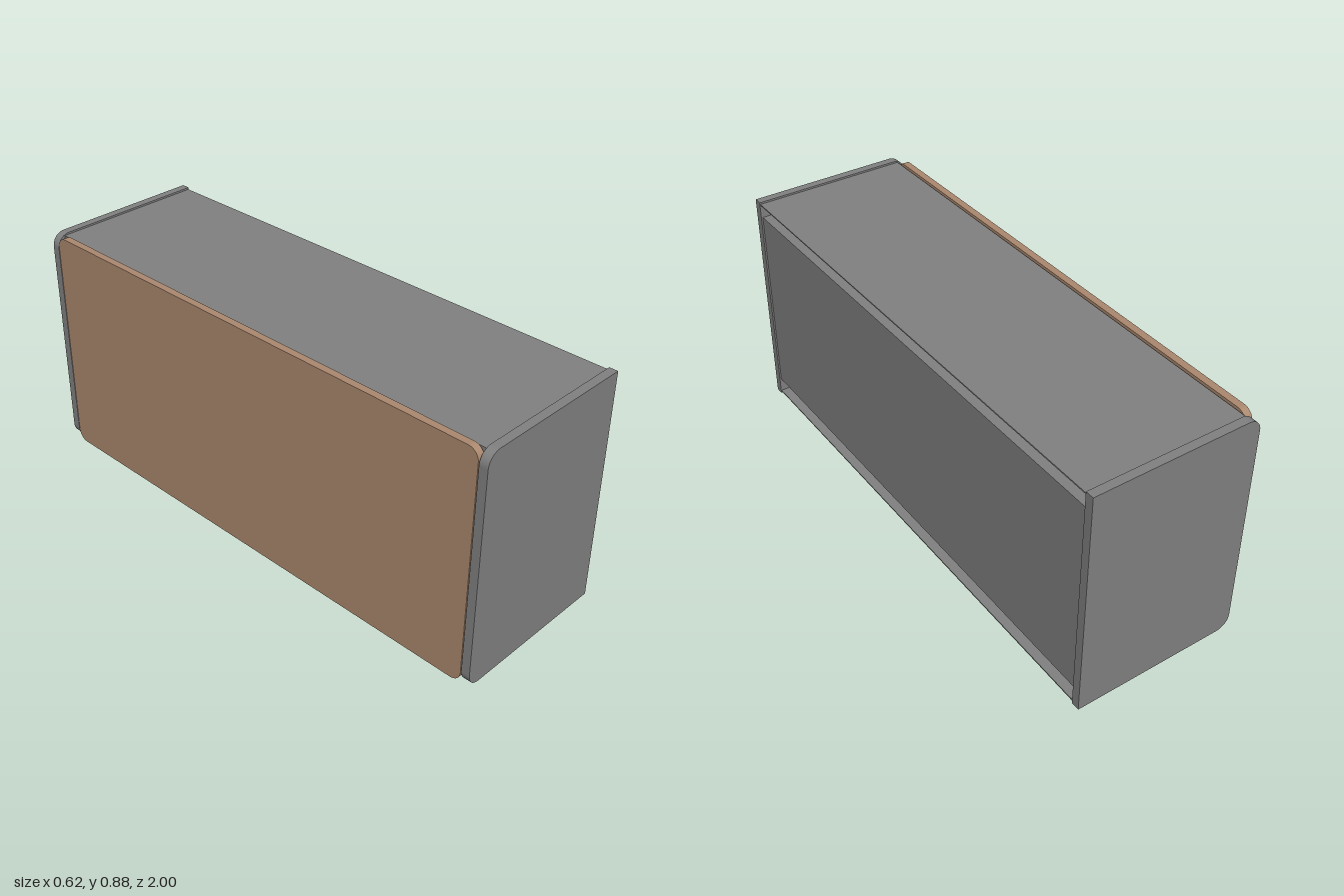
import * as THREE from 'three';

const H = 0.875, X = 0.312, END = 0.968, DOOR = -0.285;

export function createModel() {
  const model = new THREE.Group();
  const grey = new THREE.MeshStandardMaterial({ color: 0x808080 });
  grey.name = 'grey laminate';
  const wood = new THREE.MeshStandardMaterial({ color: 0xaa886e });
  wood.name = 'brown wood';

  const add = (name, geometry, material) => {
    const mesh = new THREE.Mesh(geometry, material);
    mesh.name = name;
    model.add(mesh);
    return mesh;
  };
  // Box given by its limits on each axis
  const box = (name, x0, x1, y0, y1, z0, z1) => {
    const mesh = add(name, new THREE.BoxGeometry(x1 - x0, y1 - y0, z1 - z0), grey);
    mesh.position.set((x0 + x1) / 2, (y0 + y1) / 2, (z0 + z1) / 2);
  };
  const extrude = (shape, depth) =>
    new THREE.ExtrudeGeometry(shape, { depth, bevelEnabled: false, curveSegments: 8 });

  // End panels, rounded on the door side
  const r = 0.05;
  const end = new THREE.Shape();
  end.moveTo(X, 0);
  end.lineTo(X, H);
  end.lineTo(-X + r, H);
  end.absarc(-X + r, H - r, r, Math.PI / 2, Math.PI, false);
  end.lineTo(-X, r);
  end.absarc(-X + r, r, r, Math.PI, Math.PI * 1.5, false);
  end.closePath();
  for (const [name, z] of [['frontEndPanel', END], ['backEndPanel', -1]]) {
    add(name, extrude(end, 1 - END), grey).position.z = z;
  }

  // Wooden door with four rounded corners
  const c = 0.04, w = END - 0.003;
  const door = new THREE.Shape();
  door.absarc(w - c, c, c, -Math.PI / 2, 0, false);
  door.absarc(w - c, H - c, c, 0, Math.PI / 2, false);
  door.absarc(-w + c, H - c, c, Math.PI / 2, Math.PI, false);
  door.absarc(-w + c, c, c, Math.PI, Math.PI * 1.5, false);
  door.closePath();
  const doorGeometry = extrude(door, DOOR + X);
  doorGeometry.rotateY(-Math.PI / 2);
  add('door', doorGeometry, wood).position.x = DOOR;

  // Thin top and bottom skins with the wall behind the door
  box('topSkin', DOOR + 0.004, X - 0.002, H - 0.012, H - 0.007, -END, END);
  box('bottomSkin', DOOR + 0.004, X - 0.002, 0.007, 0.012, -END, END);
  box('doorWall', DOOR + 0.004, DOOR + 0.014, 0.012, H - 0.012, -END, END);

  // Inner body, leaving a slot above and below it
  box('innerBody', DOOR + 0.014, X - 0.006, 0.068, 0.812, -END, END);

  return model;
}
